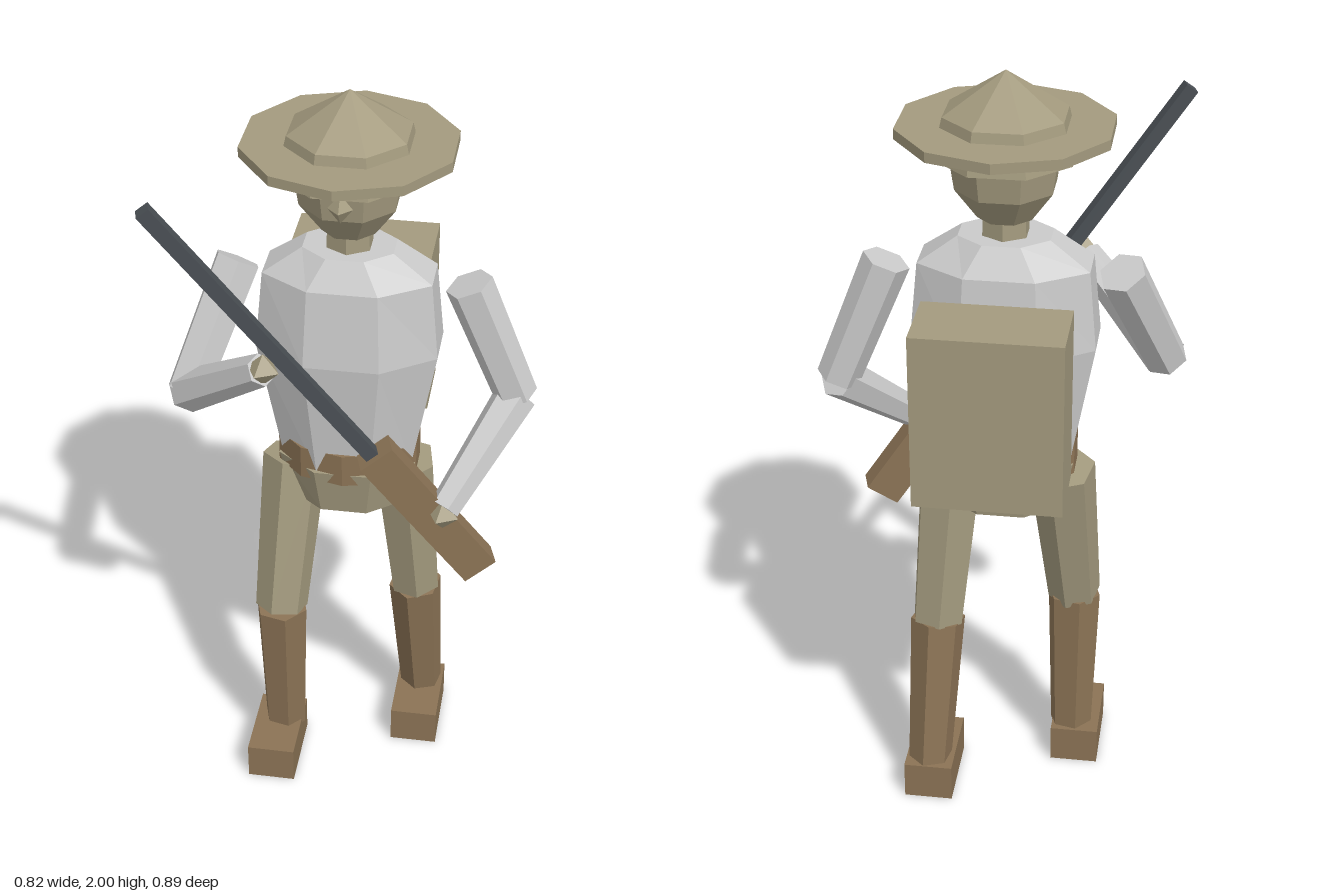
import * as THREE from 'three';

const mat = (name, color) => {
  const m = new THREE.MeshStandardMaterial({ color });
  m.name = name;
  return m;
};
const V = (x, y, z) => new THREE.Vector3(x, y, z);

export function createModel() {
  const khaki = mat('khaki', 0xa39a7e);
  const brown = mat('leather brown', 0x8b7355);
  const shirt = mat('pale grey', 0xcacaca);
  const steel = mat('gunmetal', 0x4a4f54);
  const YAW = 0.34; // the whole figure is turned towards its left

  const model = new THREE.Group();
  model.name = 'soldier';
  const body = new THREE.Group();
  body.name = 'upperBody';
  body.position.set(-0.033, 0, -0.065);
  body.rotation.y = YAW;
  model.add(body);

  // Adds a faceted mesh to a parent
  const add = (parent, name, geo, material, x = 0, y = 0, z = 0) => {
    const g = geo.index ? geo.toNonIndexed() : geo;
    g.computeVertexNormals();
    const m = new THREE.Mesh(g, material);
    m.name = name;
    m.position.set(x, y, z);
    parent.add(m);
    return m;
  };

  // Stacked rings of [radiusX, y, radiusZ], given from bottom to top
  const rings = (name, list, material, sides = 8, phase = Math.PI / 8) => {
    const g = new THREE.LatheGeometry(
      list.map(([, y]) => new THREE.Vector2(1, y)), sides, phase);
    const p = g.attributes.position;
    for (let i = 0; i < p.count; i++) {
      const [rx, , rz = rx] = list[i % list.length];
      p.setX(i, p.getX(i) * rx);
      p.setZ(i, p.getZ(i) * rz);
    }
    return add(body, name, g, material);
  };

  // Tapered six-sided limb from a to b
  const limb = (name, a, b, ra, rb, material) => {
    const d = b.clone().sub(a);
    const m = add(model, name, new THREE.CylinderGeometry(rb, ra, d.length(), 6), material);
    m.position.copy(a).add(b).multiplyScalar(0.5);
    m.quaternion.setFromUnitVectors(V(0, 1, 0), d.normalize());
    return m;
  };

  // Square bar from a to b
  const bar = (name, a, b, w, h, material) => {
    const m = add(model, name, new THREE.BoxGeometry(w, h, a.distanceTo(b)), material);
    m.position.copy(a).add(b).multiplyScalar(0.5);
    m.lookAt(b);
    return m;
  };

  // Torso, belt, hips and pack
  rings('torso', [[0, 1.0, 0], [0.18, 1.0, 0.13], [0.245, 1.33, 0.165],
    [0.225, 1.53, 0.14], [0.12, 1.6, 0.095], [0, 1.6, 0]], shirt);
  rings('belt', [[0, 0.97, 0], [0.187, 0.97, 0.136], [0.187, 1.06, 0.136], [0, 1.06, 0]],
    brown, 10, 0);
  rings('hips', [[0, 0.87, 0], [0.155, 0.87, 0.12], [0.19, 1.0, 0.142], [0, 1.0, 0]], khaki);
  add(body, 'backpack', new THREE.BoxGeometry(0.362, 0.45, 0.19), khaki, 0, 1.255, -0.25);

  // Neck, head and nose
  add(body, 'neck', new THREE.CylinderGeometry(0.058, 0.062, 0.1, 6), khaki, 0, 1.62, 0);
  rings('head', [[0, 1.635], [0.07, 1.645], [0.125, 1.72], [0.137, 1.8], [0.12, 1.86], [0, 1.87]], khaki);
  const nose = add(body, 'nose', new THREE.OctahedronGeometry(0.03), khaki, 0, 1.77, 0.147);
  nose.scale.y = 1.25;

  // Hat
  rings('hatCrown', [[0, 1.8], [0.176, 1.8], [0.152, 1.9], [0, 2.0]], khaki);
  add(body, 'hatBrim', new THREE.CylinderGeometry(0.262, 0.262, 0.025, 10), khaki, 0, 1.863, 0);

  // Legs and feet: right leg steps forward, left leg trails
  const legs = [
    ['right', V(-0.17, 0.96, -0.02), V(-0.165, 0.52, 0.08), V(-0.17, 0.09, 0.065), V(-0.168, 0.052, 0.115)],
    ['left', V(0.09, 0.96, -0.13), V(0.105, 0.515, -0.187), V(0.1, 0.09, -0.255), V(0.115, 0.052, -0.205)],
  ];
  for (const [side, hip, knee, ankle, foot] of legs) {
    limb(side + 'Thigh', hip, knee, 0.085, 0.07, khaki);
    limb(side + 'Boot', knee, ankle, 0.072, 0.058, brown);
    const f = add(model, side + 'Foot', new THREE.BoxGeometry(0.128, 0.104, 0.22), brown);
    f.position.copy(foot);
    f.rotation.y = YAW;
  }

  // Arms and hands
  const arms = [
    ['right', V(-0.305, 1.52, 0.01), V(-0.355, 1.22, 0.19), V(-0.085, 1.415, 0.275), V(-0.075, 1.425, 0.285)],
    ['left', V(0.24, 1.51, -0.165), V(0.355, 1.19, -0.225), V(0.285, 0.975, 0.03), V(0.288, 0.965, 0.042)],
  ];
  for (const [side, shoulder, elbow, wrist, hand] of arms) {
    limb(side + 'UpperArm', shoulder, elbow, 0.06, 0.055, shirt);
    limb(side + 'Forearm', elbow, wrist, 0.055, 0.04, shirt);
    add(model, side + 'Hand', new THREE.OctahedronGeometry(0.042), khaki).position.copy(hand);
  }

  // Rifle
  bar('rifleBarrel', V(0.14, 1.11, 0.1), V(-0.295, 1.85, 0.415), 0.035, 0.035, steel);
  bar('rifleStock', V(0.35, 0.765, -0.05), V(0.13, 1.145, 0.112), 0.065, 0.095, brown);
  return model;
}
